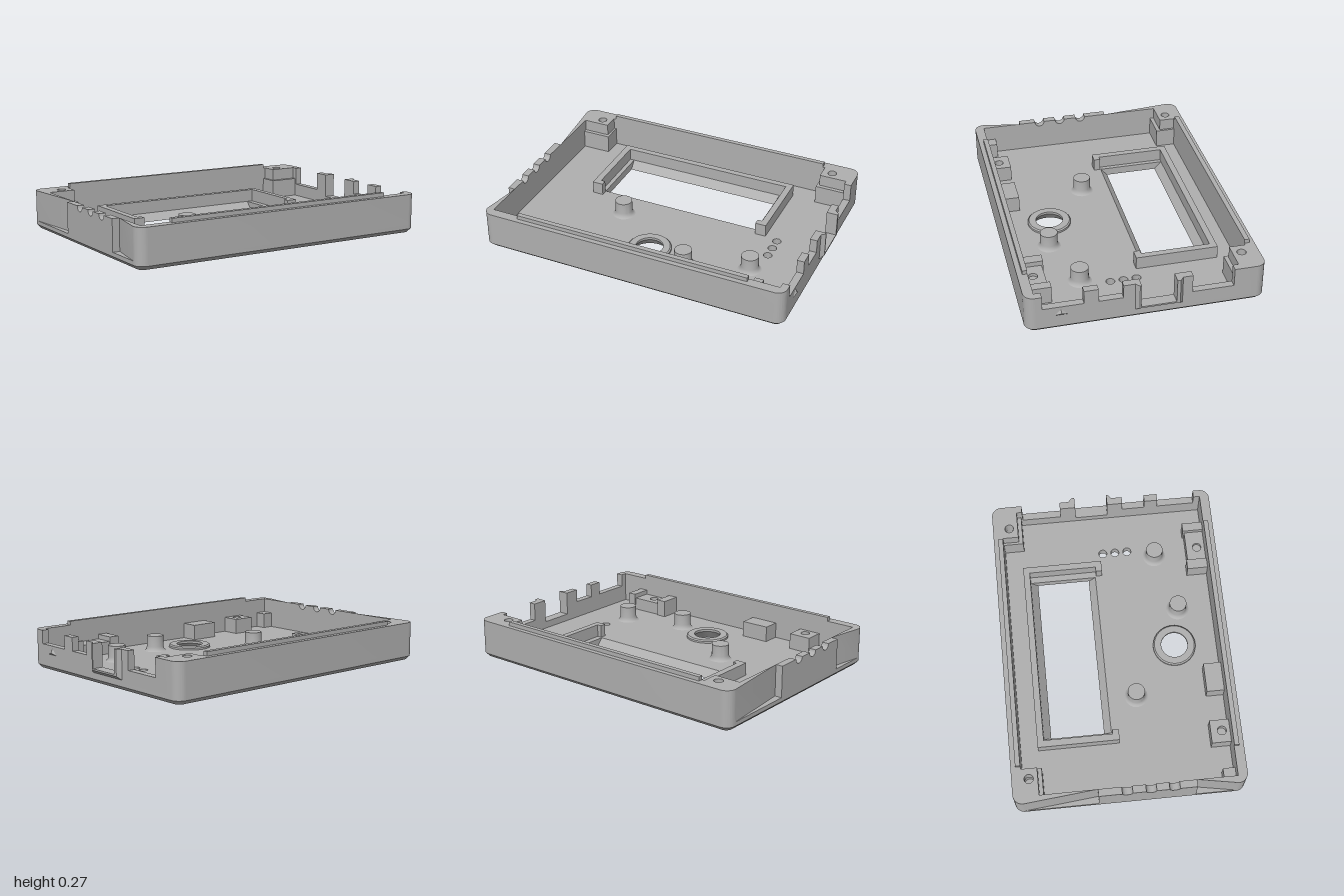
import * as THREE from 'three';
import { toCreasedNormals } from 'three/addons/utils/BufferGeometryUtils.js';

export function createModel() {
  const group = new THREE.Group();
  const grey = new THREE.MeshStandardMaterial({ color: 0xb0b0b0 });
  grey.name = 'grey plastic';

  // Outer limits of the case, corner radius, floor and rim heights
  const L = -1, R = 0.975, B = -0.715, F = 0.71, r = 0.06;
  const FLOOR = 0.05, RIM = 0.245;

  function add(name, geometry) {
    const mesh = new THREE.Mesh(toCreasedNormals(geometry, 0.5), grey);
    mesh.name = name;
    group.add(mesh);
    return mesh;
  }
  function poly(points) {
    return new THREE.Shape(points.map(([a, b]) => new THREE.Vector2(a, b)));
  }
  function rect(x0, x1, z0, z1) {
    return poly([[x0, z0], [x1, z0], [x1, z1], [x0, z1]]);
  }
  function hole(shape, x, z, radius) {
    shape.holes.push(new THREE.Path().absarc(x, z, radius, 0, Math.PI * 2));
    return shape;
  }
  // Shape drawn in (x, z), raised from y0 to y1
  function upright(shape, y0, y1, steps = 1) {
    return new THREE.ExtrudeGeometry(shape, { depth: y1 - y0, steps, bevelEnabled: false, curveSegments: 20 })
      .rotateX(Math.PI / 2).translate(0, y1, 0);
  }
  // Shape drawn in (z, y), running from x0 to x1
  function sideways(shape, x0, x1) {
    return new THREE.ExtrudeGeometry(shape, { depth: x1 - x0, bevelEnabled: false, curveSegments: 20 })
      .rotateY(-Math.PI / 2).translate(x1, 0, 0);
  }
  function block(name, x0, x1, y0, y1, z0, z1) {
    return add(name, upright(rect(x0, x1, z0, z1), y0, y1));
  }

  // Floor plate with all openings
  const screws = [[-0.85, -0.61], [0.82, -0.61], [-0.64, 0.6], [0.62, 0.6]];
  const floor = new THREE.Shape();
  floor.absarc(R - r, F - r, r, 0, Math.PI / 2);
  floor.absarc(L + r, F - r, r, Math.PI / 2, Math.PI);
  floor.absarc(L + r, B + r, r, Math.PI, Math.PI * 1.5);
  floor.absarc(R - r, B + r, r, Math.PI * 1.5, Math.PI * 2);
  screws.forEach(([x, z]) => hole(floor, x, z, 0.032));
  [-0.015, 0.065, 0.145].forEach(z => hole(floor, 0.67, z, 0.027));
  hole(floor, -0.02, 0.38, 0.125);
  floor.holes.push(rect(-0.56, 0.505, -0.505, -0.08));
  const floorGeo = upright(floor, 0, FLOOR, 2);

  // Chamfer the outer bottom edge
  const p = floorGeo.attributes.position;
  const cx = (L + R) / 2, cz = (B + F) / 2, hx = (R - L) / 2 - r, hz = (F - B) / 2 - r;
  for (let i = 0; i < p.count; i++) {
    const x = p.getX(i) - cx, z = p.getZ(i) - cz;
    const dx = Math.max(Math.abs(x) - hx, 0), dz = Math.max(Math.abs(z) - hz, 0);
    const d = Math.hypot(dx, dz);
    if (p.getY(i) < 0.001 && d > r - 0.002) {
      p.setX(i, p.getX(i) - Math.sign(x) * 0.025 * dx / d);
      p.setZ(i, p.getZ(i) - Math.sign(z) * 0.025 * dz / d);
    }
  }
  add('floor', floorGeo);

  // Front and back walls with rounded corners and short side returns
  function endWall(name, s, outer, inner, zLeft, zRight) {
    const w = new THREE.Shape();
    w.moveTo(L, zLeft);
    w.absarc(L + r, outer - s * r, r, s * Math.PI, s * Math.PI / 2, s > 0);
    w.absarc(R - r, outer - s * r, r, s * Math.PI / 2, 0, s > 0);
    w.lineTo(R, zRight);
    w.lineTo(0.93, zRight);
    w.lineTo(0.93, inner);
    w.lineTo(-0.955, inner);
    w.lineTo(-0.955, zLeft);
    add(name, upright(w, FLOOR, RIM));
  }
  endWall('frontWall', 1, F, 0.65, 0.4, 0.61);
  endWall('backWall', -1, B, -0.655, -0.2, -0.52);

  // Side wall with three round cable notches
  const notched = new THREE.Shape();
  notched.moveTo(-0.2, FLOOR);
  notched.lineTo(0.4, FLOOR);
  notched.lineTo(0.4, RIM);
  [0.262, 0.12, -0.025].forEach(z => notched.absarc(z, RIM, 0.032, 0, Math.PI, true));
  notched.lineTo(-0.2, RIM);
  add('notchedWall', sideways(notched, L, -0.955));

  // Opposite side wall with connector cutouts: [front, back, sill height]
  const profile = [[-0.52, FLOOR], [0.61, FLOOR]];
  [[0.61, 0.37, 0.16], [0.285, 0.14, 0.16], [0.04, -0.17, 0.095], [-0.27, -0.52, 0.13]].forEach(([a, b, y]) => {
    if (a < 0.61) profile.push([a, RIM]);
    profile.push([a, y], [b, y]);
    if (b > -0.52) profile.push([b, RIM]);
  });
  add('connectorWall', sideways(poly(profile), 0.93, R));

  // Bevelled surround of the large connector opening
  const surround = sideways(poly([[0.075, RIM], [0.04, RIM], [0.04, 0.095], [-0.17, 0.095],
    [-0.17, RIM], [-0.215, RIM], [-0.215, 0.06], [0.075, 0.06]]), 0.97, 1);
  const q = surround.attributes.position;
  for (let i = 0; i < q.count; i++) {
    if (q.getX(i) < 0.99) continue;
    if (q.getZ(i) > 0.07) q.setZ(i, 0.05);
    if (q.getZ(i) < -0.2) q.setZ(i, -0.19);
    if (q.getY(i) < 0.07) q.setY(i, 0.085);
  }
  add('connectorSurround', surround);

  // Small pyramid marker on the side
  const marker = new THREE.ConeGeometry(0.05, 0.012, 3).rotateX(Math.PI / 2).rotateZ(Math.PI)
    .rotateY(Math.PI / 2);
  marker.computeBoundingBox();
  const mb = marker.boundingBox;
  // point the triangle upward
  if (Math.abs(mb.min.y) > mb.max.y) marker.rotateX(Math.PI);
  marker.scale(1, 0.6, 1).translate(R + 0.005, 0.118, 0.503);
  add('sideMarker', marker);

  // Locating lips along the rim
  block('frontLip', -0.77, 0.74, RIM - 0.01, 0.27, 0.65, 0.68);
  block('backLip', -0.77, 0.74, RIM - 0.01, 0.27, -0.685, -0.655);

  // Back corner screw posts: wide foot and narrower top
  [[-0.96, -0.77, -0.785, -0.85], [0.94, 0.74, 0.755, 0.82]].forEach(([wall, foot, top, x]) => {
    const z = -0.67;
    add('cornerPostFoot', upright(hole(rect(Math.min(wall, foot), Math.max(wall, foot), z, -0.53), x, -0.61, 0.032), FLOOR, 0.17));
    add('cornerPostTop', upright(hole(rect(Math.min(wall, top), Math.max(wall, top), z, -0.555), x, -0.61, 0.028), 0.17, RIM));
  });

  // Front screw bosses, stop block and corner block
  add('screwBoss', upright(hole(rect(-0.715, -0.57, 0.53, 0.66), -0.64, 0.6, 0.028), FLOOR, 0.15));
  add('screwBoss', upright(hole(rect(0.52, 0.735, 0.53, 0.66), 0.62, 0.6, 0.028), FLOOR, 0.13));
  block('bossRib', 0.46, 0.525, FLOOR, 0.16, 0.52, 0.66);
  block('bossRib', 0.73, 0.785, FLOOR, 0.16, 0.52, 0.66);
  block('stopBlock', -0.38, -0.195, FLOOR, 0.15, 0.54, 0.66);
  block('cornerBlock', -0.96, -0.88, FLOOR, 0.15, 0.575, 0.66);

  // Closed ends inside the screw holes
  screws.forEach(([x, z]) =>
    add('screwHoleEnd', new THREE.CylinderGeometry(0.034, 0.034, 0.02, 20).translate(x, 0.1, z)));

  // Display frame: back rail, side rails and inward hooks
  const frame = poly([[-0.63, -0.545], [0.585, -0.545], [0.585, -0.035], [0.515, -0.035], [0.515, -0.075],
    [0.545, -0.075], [0.545, -0.505], [-0.588, -0.505], [-0.588, -0.075], [-0.56, -0.075],
    [-0.56, -0.035], [-0.63, -0.035]]);
  add('displayFrame', upright(frame, FLOOR, 0.13));

  // Sloped long edges of the display window
  add('windowSlope', sideways(poly([[-0.505, 0], [-0.46, 0], [-0.505, FLOOR]]), -0.56, 0.505));
  add('windowSlope', sideways(poly([[-0.08, 0], [-0.08, FLOOR], [-0.125, 0]]), -0.56, 0.505));

  // Flared collar around the large round hole
  const collar = [[0.125, 0], [0.085, 0.055], [0.085, 0.07], [0.128, 0.07], [0.136, 0.062], [0.136, 0.04], [0.125, 0]];
  add('knobCollar', new THREE.LatheGeometry(collar.map(([a, b]) => new THREE.Vector2(a, b)).reverse(), 48)
    .translate(-0.02, 0, 0.38)).material = Object.assign(grey, { side: THREE.DoubleSide });

  // Support pins with filleted feet
  const pin = [[0.075, 0.049], [0.066, 0.053], [0.058, 0.063], [0.054, 0.08], [0.054, 0.15], [0, 0.15]]
    .map(([a, b]) => new THREE.Vector2(a, b));
  [[-0.335, 0.1], [0.23, 0.43], [0.62, 0.32]].forEach(([x, z]) =>
    add('supportPin', new THREE.LatheGeometry(pin, 32).translate(x, 0, z)));

  return group;
}
